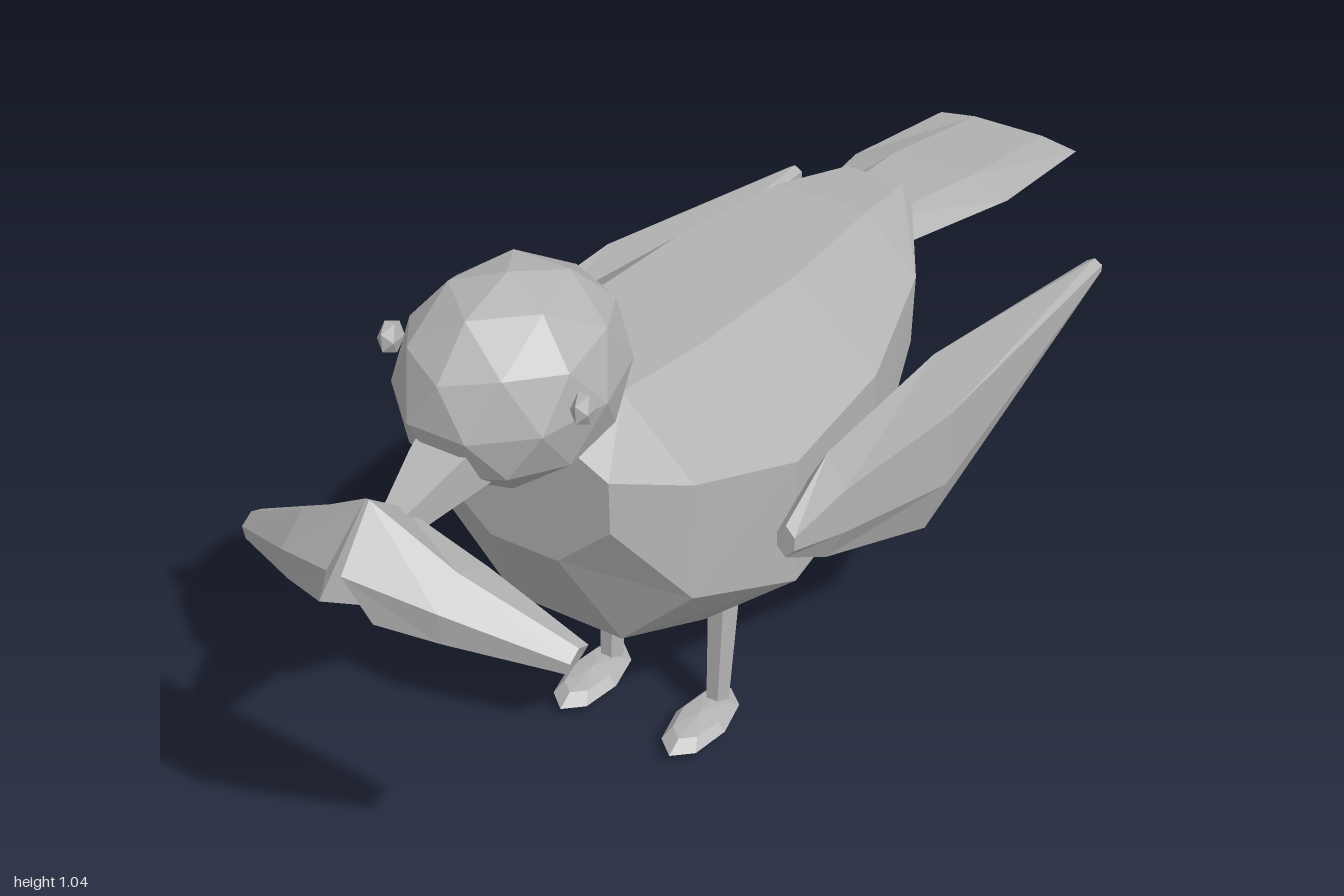
import * as THREE from 'three';

// Closed loft through rings of equal point count, with flat end caps
function loft(rings) {
  const n = rings[0].length, tris = [];
  const tri = (a, b, c) => tris.push([a, b, c]);
  for (let r = 0; r < rings.length - 1; r++) {
    for (let i = 0; i < n; i++) {
      const j = (i + 1) % n;
      const [a, b, c, d] = [rings[r][i], rings[r][j], rings[r + 1][j], rings[r + 1][i]];
      tri(a, b, c);
      tri(a, c, d);
    }
  }
  const first = rings[0], last = rings[rings.length - 1];
  for (let i = 1; i < n - 1; i++) {
    tri(first[0], first[i + 1], first[i]);
    tri(last[0], last[i], last[i + 1]);
  }
  // Signed volume decides which way the corners must run
  const v = (p) => new THREE.Vector3(...p);
  const volume = tris.reduce((s, t) => s + v(t[0]).dot(v(t[1]).cross(v(t[2]))), 0);
  const ordered = volume < 0 ? tris.map(([a, b, c]) => [a, c, b]) : tris;
  const geo = new THREE.BufferGeometry();
  geo.setAttribute('position', new THREE.Float32BufferAttribute(ordered.flat(2), 3));
  return geo;
}

// Regular ring around a point, facing z
const ringZ = (x, y, z, rx, ry, n) => Array.from({ length: n }, (_, i) => {
  const a = ((i + 0.5) / n) * Math.PI * 2;
  return [x + Math.cos(a) * rx, y + Math.sin(a) * ry, z];
});

const ringY = (x, y, z, r, n) => Array.from({ length: n }, (_, i) => {
  const a = (i / n) * Math.PI * 2;
  return [x + Math.cos(a) * r, y, z + Math.sin(a) * r];
});

export function createModel() {
  const group = new THREE.Group();
  const grey = new THREE.MeshStandardMaterial({ color: 0xb4b4b4, flatShading: true });

  function add(name, geometry) {
    const geo = geometry.index ? geometry.toNonIndexed() : geometry;
    geo.computeVertexNormals();
    const mesh = new THREE.Mesh(geo, grey);
    mesh.name = name;
    group.add(mesh);
    return mesh;
  }

  // Body: eight-sided sections as
  // [bottom z, bottom y, lower side y, upper side y, top z, top y, side half width, flat half width]
  const body = [
    [0.59, 0.56, 0.65, 0.74, 0.59, 0.79, 0.155, 0.06],
    [0.49, 0.355, 0.485, 0.69, 0.47, 0.805, 0.225, 0.1],
    [0.27, 0.237, 0.39, 0.62, 0.27, 0.775, 0.277, 0.11],
    [0.0, 0.272, 0.4, 0.61, 0.0, 0.742, 0.262, 0.11],
    [-0.26, 0.40, 0.49, 0.615, -0.28, 0.705, 0.185, 0.085],
    [-0.40, 0.55, 0.58, 0.625, -0.465, 0.655, 0.085, 0.055],
  ].map(([zb, yb, yl, yu, zt, yt, w, f]) => {
    const zl = zb + (zt - zb) * 0.3, zu = zb + (zt - zb) * 0.7;
    return [[-f, yb, zb], [f, yb, zb], [w, yl, zl], [w, yu, zu],
      [f, yt, zt], [-f, yt, zt], [-w, yu, zu], [-w, yl, zl]];
  });
  add('body', loft(body));

  // Tail: flattened blade, [z, y, half width, half height]
  add('tail', loft([
    [-0.3, 0.60, 0.085, 0.03],
    [-0.4, 0.59, 0.108, 0.034],
    [-0.68, 0.54, 0.155, 0.026],
    [-1.0, 0.477, 0.143, 0.012],
  ].map(([z, y, w, h]) => [
    [-w, y, z], [-w * 0.5, y + h, z], [w * 0.5, y + h, z],
    [w, y, z], [w * 0.5, y - h, z], [-w * 0.5, y - h, z],
  ])));

  // Head: faceted ball with a corner at the top
  const ball = new THREE.IcosahedronGeometry(1, 1);
  ball.rotateX(-Math.atan((1 + Math.sqrt(5)) / 2));
  ball.scale(0.158, 0.162, 0.19);
  add('head', ball).position.set(0, 0.88, 0.59);

  // Beak
  add('beak', loft([
    ringZ(0, 0.825, 0.72, 0.07, 0.055, 4),
    ringZ(0, 0.815, 0.78, 0.055, 0.045, 4),
    ringZ(0, 0.79, 0.89, 0.02, 0.024, 4),
  ]));

  for (const s of [1, -1]) {
    const side = s > 0 ? 'left' : 'right';

    // Eye
    const eye = new THREE.IcosahedronGeometry(1, 0);
    eye.scale(0.017, 0.028, 0.025);
    add(side + 'Eye', eye).position.set(s * 0.163, 0.913, 0.652);

    // Leaf held in the beak: swept from the middle outward, down and back
    add(side + 'Leaf', loft([
      [[0.003, 0.87, 0.92], [0.012, 0.8, 1.0], [0.045, 0.722, 0.985],
        [0, 0.678, 0.91], [0, 0.7, 0.86], [0, 0.81, 0.85]],
      [[0.13, 0.79, 0.905], [0.13, 0.755, 0.955], [0.13, 0.70, 0.95],
        [0.13, 0.65, 0.895], [0.13, 0.67, 0.84], [0.13, 0.755, 0.84]],
      [[0.28, 0.687, 0.85], [0.28, 0.675, 0.872], [0.276, 0.655, 0.872],
        [0.266, 0.642, 0.855], [0.27, 0.655, 0.83], [0.28, 0.677, 0.828]],
    ].map((ring) => ring.map(([x, y, z]) => [s * x, y, z]))));

    // Wing: thin hexagonal sections, [z, top, bottom, half thickness]
    add(side + 'Wing', loft([
      [0.362, 0.575, 0.515, 0.015],
      [0.24, 0.632, 0.43, 0.031],
      [-0.1, 0.608, 0.256, 0.035],
      [-0.73, 0.443, 0.411, 0.015],
    ].map(([z, top, low, t]) => {
      const x = s * 0.311, a = low + (top - low) * 0.3, b = low + (top - low) * 0.7;
      return [[x, low, z], [x + t, a, z], [x + t, b, z],
        [x, top, z], [x - t, b, z], [x - t, a, z]];
    })));

    // Leg
    add(side + 'Leg', loft([
      ringY(s * 0.107, 0.28, 0.203, 0.03, 6),
      ringY(s * 0.105, 0.025, 0.224, 0.021, 6),
    ]));

    // Foot
    const foot = new THREE.SphereGeometry(1, 8, 4);
    foot.scale(0.047, 0.022, 0.096);
    add(side + 'Foot', foot).position.set(s * 0.107, 0.022, 0.28);
  }

  return group;
}
